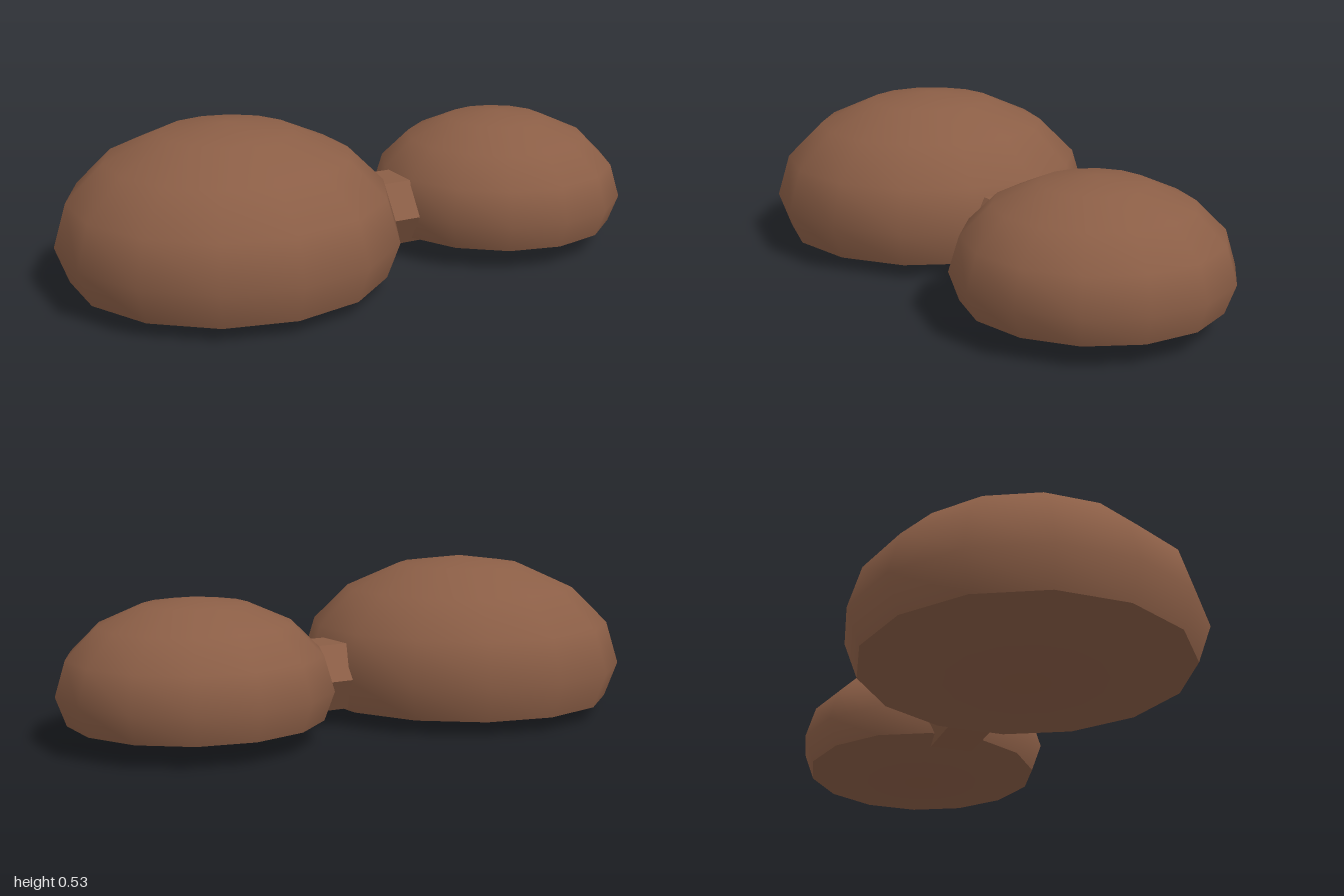
import * as THREE from 'three';
import { toCreasedNormals } from 'three/addons/utils/BufferGeometryUtils.js';

const SIDES = 14, RINGS = 8, CENTER_Y = 0.165;

// Ellipsoid dome whose underside is squashed to a nearly flat base
function domeGeometry(radius, height) {
  const floor = -0.3 * height;
  const profile = [];
  for (let i = 0; i <= RINGS; i++) {
    const a = -Math.PI / 2 + (i / RINGS) * Math.PI;
    let y = height * Math.sin(a);
    if (y < floor) y = floor + (y - floor) * 0.2;
    const r = i === 0 || i === RINGS ? 0 : radius * Math.cos(a);
    profile.push(new THREE.Vector2(r, y));
  }
  return toCreasedNormals(new THREE.LatheGeometry(profile, SIDES), 0.8);
}

export function createModel() {
  const group = new THREE.Group();
  const brown = new THREE.MeshStandardMaterial({ color: 0x8b5e46 });
  brown.name = 'brown';

  const add = (name, geometry, x, z = 0) => {
    const mesh = new THREE.Mesh(geometry, brown);
    mesh.name = name;
    mesh.position.set(x, CENTER_Y, z);
    group.add(mesh);
  };

  // Two domes side by side
  add('largeDome', domeGeometry(0.556, 0.37), -0.457);
  add('smallDome', domeGeometry(0.438, 0.291), 0.566, -0.009);

  // Six-sided passage joining the domes
  const passage = new THREE.CylinderGeometry(1, 1, 0.28, 6);
  passage.rotateZ(Math.PI / 2);
  passage.scale(1, 0.126, 0.147);
  add('passage', toCreasedNormals(passage, 0.5), 0.11);

  return group;
}
